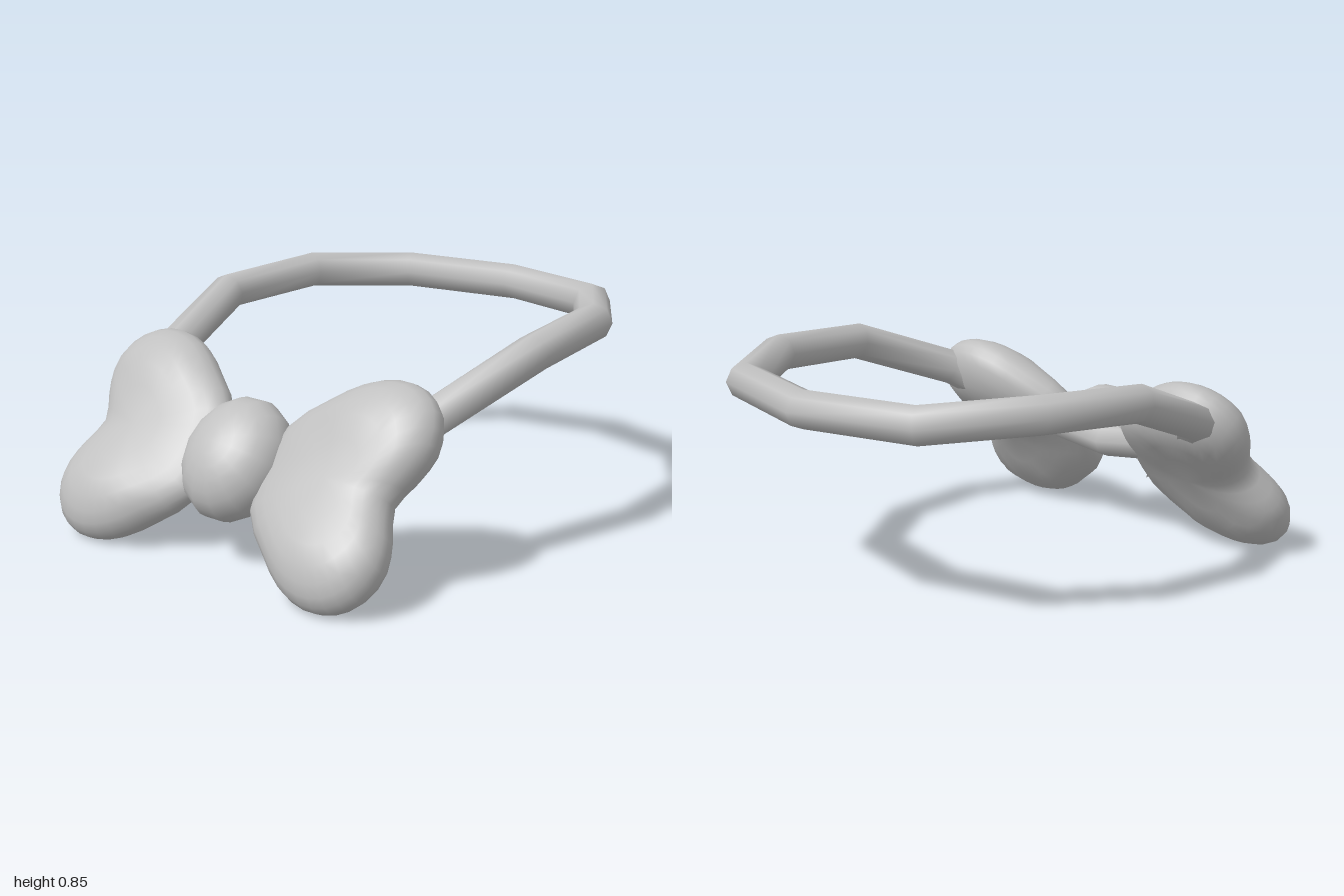
import * as THREE from 'three';
import { mergeVertices } from 'three/addons/utils/BufferGeometryUtils.js';

// Skin a list of closed rings (arrays of Vector3); optionally join last ring to first
function skin(rings, loop) {
  const n = rings[0].length;
  const index = [];
  const last = loop ? rings.length : rings.length - 1;
  for (let j = 0; j < last; j++) {
    const k = (j + 1) % rings.length;
    for (let i = 0; i < n; i++) {
      const m = (i + 1) % n;
      const a = j * n + i, b = j * n + m, c = k * n + i, d = k * n + m;
      index.push(a, c, d, a, d, b);
    }
  }
  const geo = new THREE.BufferGeometry().setFromPoints(rings.flat());
  geo.setIndex(index);
  const merged = mergeVertices(geo, 1e-4);
  merged.computeVertexNormals();
  return merged;
}

// Heart-shaped pillow, narrow at the knot and notched at the outer end
function wingGeometry(side) {
  const upper = [
    [0.15, 0.17], [0.3, 0.31], [0.42, 0.395], [0.54, 0.43], [0.65, 0.415],
    [0.735, 0.35], [0.775, 0.23], [0.75, 0.12],
  ];
  const half = upper.map(([x, u]) => new THREE.Vector3(x, u, 0));
  const lower = half.map((p) => new THREE.Vector3(p.x, -p.y, 0)).reverse();
  const notch = new THREE.Vector3(0.7, 0, 0);
  const inner = new THREE.Vector3(0.13, 0, 0);
  const outline = new THREE.CatmullRomCurve3([inner, ...half, notch, ...lower], true)
    .getPoints(36).slice(0, 36);
  if (side > 0) outline.reverse();

  const cx = 0.48, steps = 14, rings = [];
  for (let j = 0; j <= steps; j++) {
    const a = (j / steps) * Math.PI;
    const s = j % steps === 0 ? 0 : Math.pow(Math.sin(a), 0.7);
    rings.push(outline.map((p) => {
      const x = cx + (p.x - cx) * s, u = p.y * s;
      // thinner along the middle crease and towards the knot
      const puff = 0.11 + 0.04 * Math.min(1, (u / 0.25) ** 2);
      const taper = THREE.MathUtils.lerp(0.9, 1, THREE.MathUtils.smoothstep(x, 0.15, 0.45));
      return new THREE.Vector3(x * side, u, Math.cos(a) * puff * taper);
    }));
  }
  return skin(rings, false);
}

// Mitred eight-sided tube around a closed polyline
function bandGeometry(path, radius) {
  const up = new THREE.Vector3(0, 1, 0);
  const rings = path.map((p, j) => {
    const next = path[(j + 1) % path.length];
    const prev = path[(j + path.length - 1) % path.length];
    const d1 = next.clone().sub(p).normalize();
    const d0 = p.clone().sub(prev).normalize();
    const t = d0.clone().add(d1).normalize();
    const s = t.clone().cross(up).normalize();
    const v = s.clone().cross(t);
    const mitre = 1 / t.dot(d1);
    return Array.from({ length: 8 }, (_, i) => {
      const a = (i / 8) * Math.PI * 2;
      return p.clone()
        .addScaledVector(s, Math.cos(a) * radius * mitre)
        .addScaledVector(v, Math.sin(a) * radius);
    });
  });
  return skin(rings, true);
}

export function createModel() {
  const model = new THREE.Group();
  model.name = 'bowTie';
  const grey = new THREE.MeshStandardMaterial({ color: 0xc0c0c0 });
  grey.name = 'light grey';

  const add = (parent, name, geo) => {
    const mesh = new THREE.Mesh(geo, grey);
    mesh.name = name;
    parent.add(mesh);
    return mesh;
  };

  // Bow, leaning back
  const bow = new THREE.Group();
  bow.name = 'bow';
  bow.position.set(0, 0.365, 0.665);
  bow.rotation.x = -0.657;
  model.add(bow);
  add(bow, 'leftWing', wingGeometry(1));
  add(bow, 'rightWing', wingGeometry(-1));

  // Knot: rounded shell, open at the back
  const shell = new THREE.SphereGeometry(1, 14, 9, 0, Math.PI * 2, 0, 1.95);
  shell.rotateX(Math.PI / 2);
  shell.scale(0.208, 0.235, 0.165);
  add(bow, 'knot', shell).position.z = 0.03;

  // Neck band, mirrored left to right
  const side = [
    [0.35, 0.42, 0.62], [0.66, 0.6, 0.4], [0.757, 0.76, -0.035],
    [0.705, 0.785, -0.475], [0.463, 0.765, -0.815],
  ].map((p) => new THREE.Vector3(...p));
  const mirrored = side.map((p) => new THREE.Vector3(-p.x, p.y, p.z)).reverse();
  const path = [
    new THREE.Vector3(0, 0.37, 0.64), ...side,
    new THREE.Vector3(0, 0.76, -0.928), ...mirrored,
  ];
  add(model, 'neckBand', bandGeometry(path, 0.071));
  return model;
}
